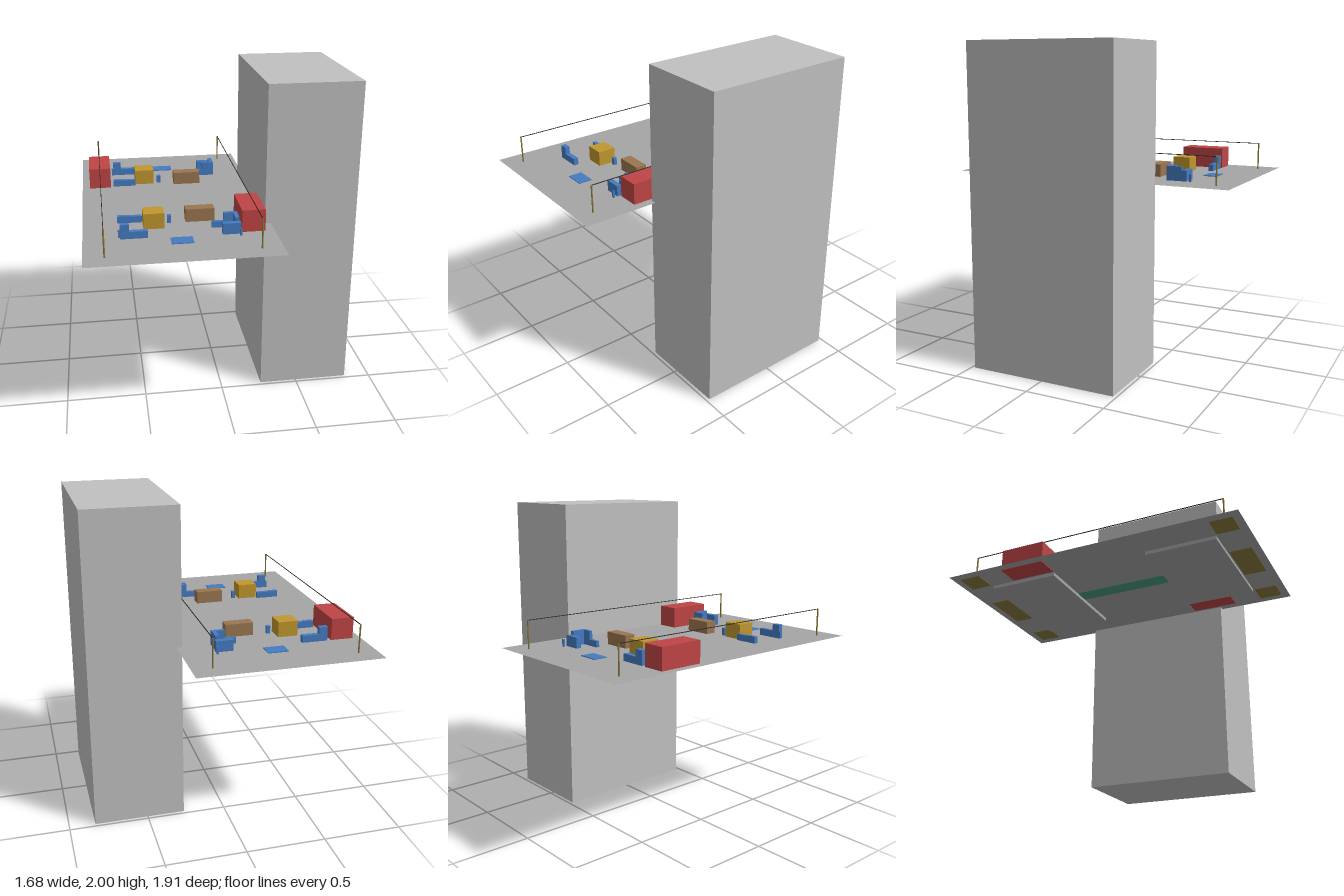
import * as THREE from 'three';

const mat = (name, color, extra = {}) => {
  const m = new THREE.MeshStandardMaterial({ color, ...extra });
  m.name = name;
  return m;
};

export function createModel() {
  const M = {
    tower: mat('light grey', 0xc0c0c0),
    ground: mat('ground grey', 0xa5a5a5, { side: THREE.DoubleSide }),
    red: mat('red', 0xbf4545),
    blue: mat('blue', 0x457bc0),
    yellow: mat('ochre', 0xc0962e),
    brown: mat('brown', 0x9a7650),
    olive: mat('olive', 0x8a7a3c),
    green: mat('green', 0x4a9a80),
    wire: mat('wire black', 0x2a2a2a),
  };
  const root = new THREE.Group();
  root.name = 'arenaMap';
  const FLOOR = 1.143, BASE = 1.139;

  // Box given by its extents on each axis
  const box = (name, m, x0, x1, y0, y1, z0, z1) => {
    const mesh = new THREE.Mesh(new THREE.BoxGeometry(x1 - x0, y1 - y0, z1 - z0), m);
    mesh.position.set((x0 + x1) / 2, (y0 + y1) / 2, (z0 + z1) / 2);
    mesh.name = name;
    root.add(mesh);
  };
  // Same box on both halves of the map
  const pair = (name, m, x0, x1, y0, y1, z0, z1) => {
    box(name + 'Front', m, x0, x1, y0, y1, z0, z1);
    box(name + 'Back', m, x0, x1, y0, y1, -z1, -z0);
  };

  // Tower and ground sheet
  box('tower', M.tower, 0.263, 0.837, 0, 2, -0.478, 0.478);
  const ground = new THREE.Mesh(new THREE.PlaneGeometry(1.137, 1.906), M.ground);
  ground.rotation.x = -Math.PI / 2;
  ground.position.set(-0.27, FLOOR, 0);
  ground.name = 'ground';
  root.add(ground);

  // Raised base slabs and floor markings under the sheet
  pair('baseSlab', M.ground, -0.635, 0.09, 1.118, 1.14, 0.31, 0.757);
  box('centreStrip', M.green, -0.32, -0.22, BASE, BASE + 0.003, -0.35, 0.35);
  pair('middlePad', M.olive, -0.425, -0.115, BASE, BASE + 0.003, 0.765, 0.905);

  // Poles with pads, and the wires strung between them
  for (const x of [-0.717, 0.172]) {
    pair('polePad', M.olive, x - 0.07, x + 0.07, BASE, BASE + 0.003, 0.765, 0.905);
    for (const z of [-0.836, 0.836]) {
      const pole = new THREE.Mesh(new THREE.CylinderGeometry(0.005, 0.005, 0.18, 8), M.olive);
      pole.position.set(x, 1.232, z);
      pole.name = 'pole';
      root.add(pole);
    }
    box('wire', M.wire, x - 0.002, x + 0.002, 1.318, 1.322, -0.836, 0.836);
  }

  // Red containers in opposite corners
  box('containerBack', M.red, -0.788, -0.646, BASE, 1.279, -0.597, -0.308);
  box('containerFront', M.red, 0.1, 0.242, BASE, 1.279, 0.302, 0.591);

  // Crates
  pair('squareCrate', M.yellow, -0.476, -0.35, 1.14, 1.24, 0.349, 0.467);
  pair('longCrate', M.brown, -0.213, -0.035, 1.14, 1.224, 0.313, 0.386);

  // Blue cover walls: x0, x1, top, z0, z1
  const cover = [
    [-0.62, -0.567, 1.232, 0.565, 0.597],
    [-0.567, -0.459, 1.187, 0.565, 0.597],
    [-0.632, -0.62, 1.19, 0.562, 0.574],
    [-0.628, -0.565, 1.187, 0.324, 0.35],
    [-0.565, -0.478, 1.184, 0.324, 0.35],
    [-0.326, -0.302, 1.192, 0.364, 0.387],
    [-0.018, 0.09, 1.212, 0.58, 0.613],
    [0.06, 0.086, 1.235, 0.5, 0.58],
    [0.003, 0.086, 1.235, 0.478, 0.5],
    [-0.068, 0.003, 1.182, 0.478, 0.5],
    [0.08, 0.092, 1.19, 0.632, 0.644],
    [-0.33, -0.2, 1.148, 0.62, 0.71],
  ];
  for (const [x0, x1, top, z0, z1] of cover) pair('coverBlock', M.blue, x0, x1, 1.14, top, z0, z1);

  return root;
}
